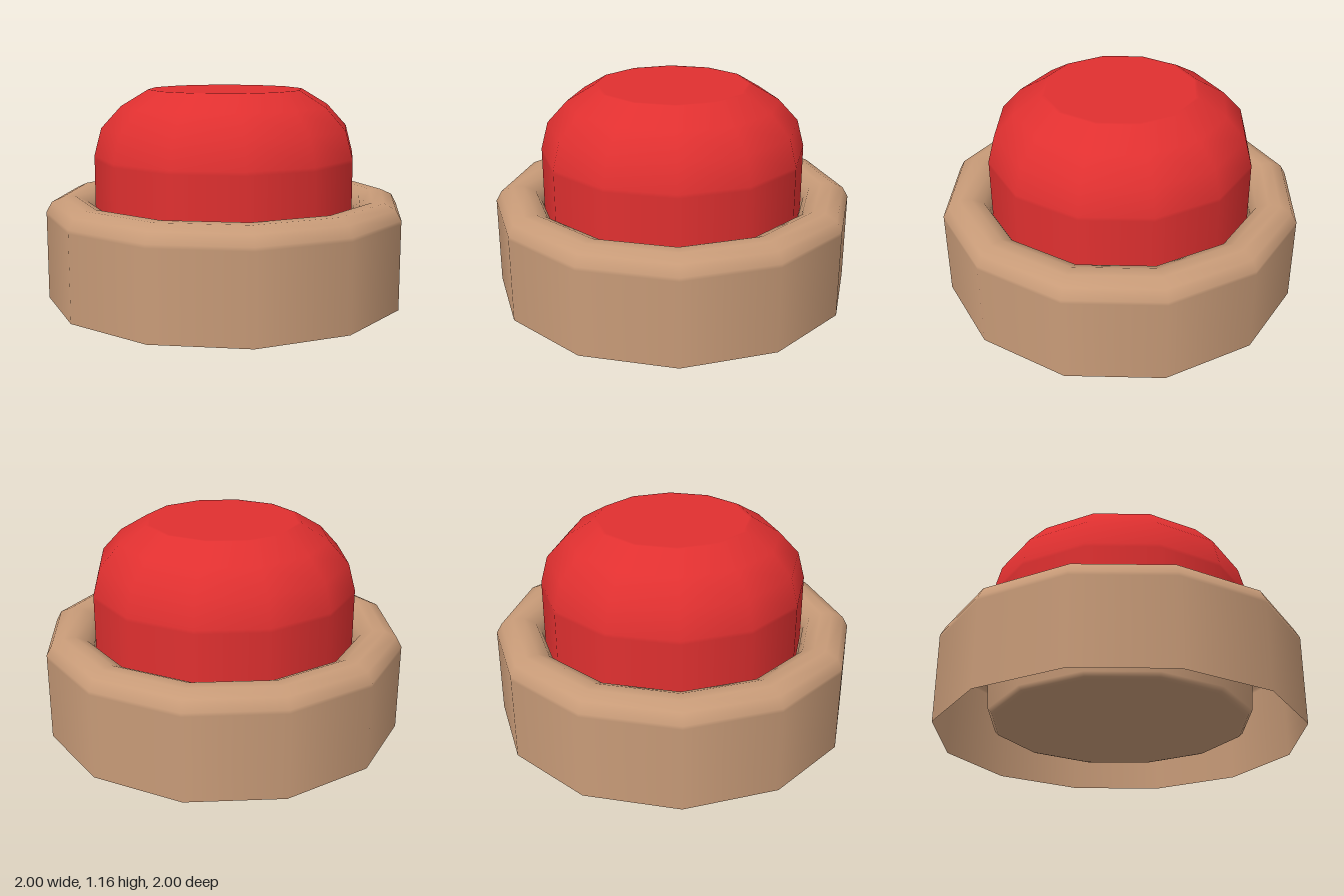
import * as THREE from 'three';

const SIDES = 12;

// Revolve a list of [radius, height] points into a twelve-sided part
function turned(name, profile, material) {
  const points = profile.map(([r, y]) => new THREE.Vector2(r, y));
  const mesh = new THREE.Mesh(new THREE.LatheGeometry(points, SIDES), material);
  mesh.name = name;
  return mesh;
}

export function createModel() {
  const tan = new THREE.MeshStandardMaterial({ color: 0xc89b78, side: THREE.DoubleSide });
  tan.name = 'tan';
  const red = new THREE.MeshStandardMaterial({ color: 0xe03030, side: THREE.DoubleSide });
  red.name = 'red';

  const group = new THREE.Group();
  group.name = 'pushButton';

  // Hollow housing: outer wall, rounded rim, then a cup sunk inside it
  group.add(turned('housing', [
    [1, 0], [1, 0.47], [1, 0.49], [0.97, 0.545], [0.905, 0.575],
    [0.84, 0.575], [0.775, 0.545], [0.745, 0.49], [0.744, 0.47],
    [0.72, 0.1], [0.7, 0.08], [0.68, 0.075], [0, 0.075],
  ], tan));

  // Domed cap with a flat top, seated in the cup
  group.add(turned('cap', [
    [0.73, 0.42], [0.73, 0.78], [0.73, 0.8], [0.69, 0.95],
    [0.58, 1.07], [0.43, 1.16], [0.41, 1.16], [0, 1.16],
  ], red));

  return group;
}
